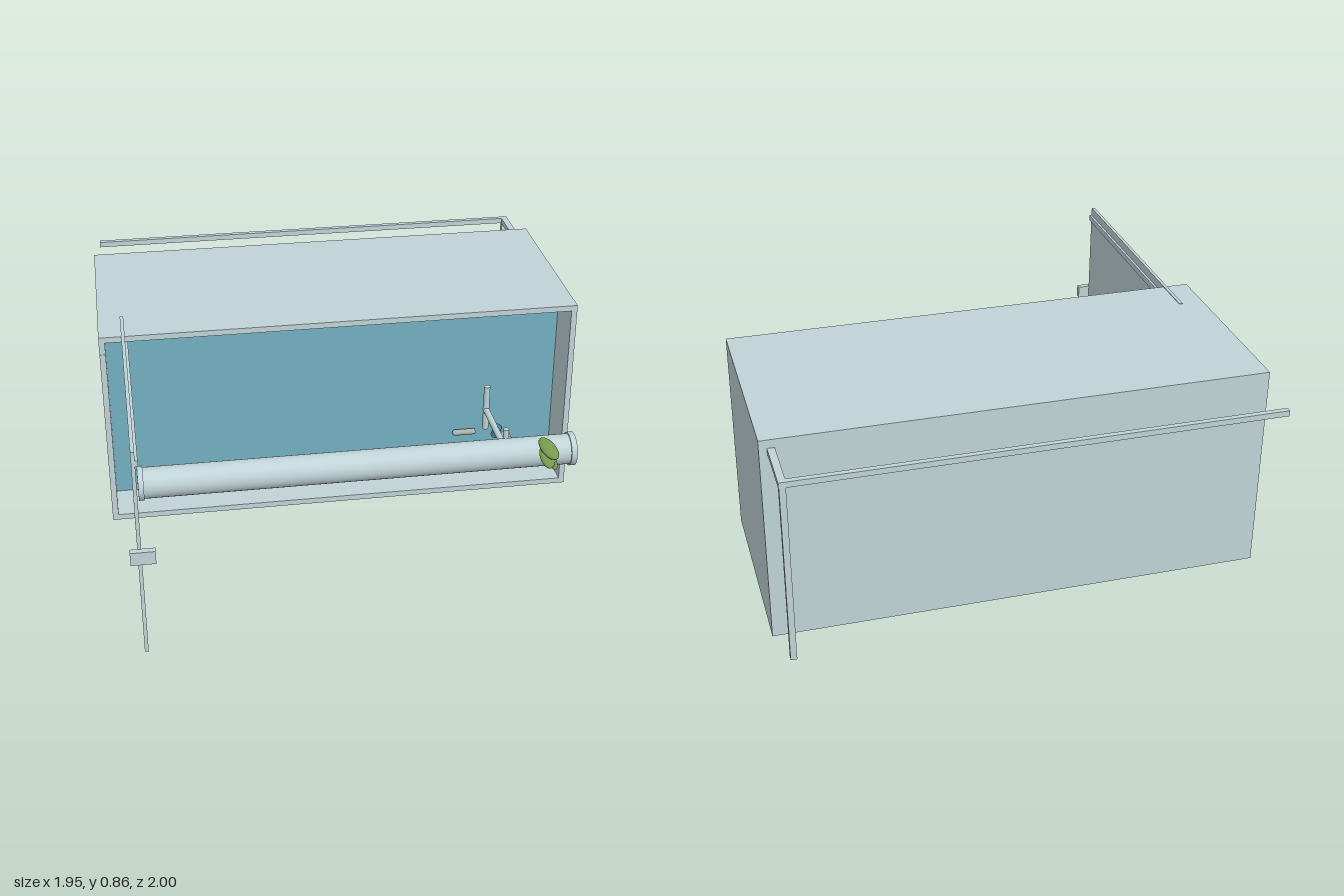
import * as THREE from 'three';

export function createModel() {
  const model = new THREE.Group();
  const mat = (name, color) => {
    const m = new THREE.MeshStandardMaterial({ color });
    m.name = name;
    return m;
  };
  const shell = mat('pale steel', 0xc0d3d7);
  const blue = mat('blue lining', 0x72b0c0);
  const darkBlue = mat('dark blue', 0x4f8496);
  const green = mat('leaf green', 0x76994f);
  const grey = mat('grey fitting', 0xa9b2b3);

  const add = (name, geometry, material, parent = model) => {
    const mesh = new THREE.Mesh(geometry, material);
    mesh.name = name;
    parent.add(mesh);
    return mesh;
  };
  // Box given by its extents
  const box = (name, x0, x1, y0, y1, z0, z1, material = shell, parent = model) => {
    const mesh = add(name, new THREE.BoxGeometry(x1 - x0, y1 - y0, z1 - z0), material, parent);
    mesh.position.set((x0 + x1) / 2, (y0 + y1) / 2, (z0 + z1) / 2);
    return mesh;
  };
  // Round rod between two points
  const rod = (name, a, b, r, material = shell, parent = model) => {
    const p = new THREE.Vector3(...a), q = new THREE.Vector3(...b);
    const dir = q.clone().sub(p);
    const mesh = add(name, new THREE.CylinderGeometry(r, r, dir.length(), 32), material, parent);
    mesh.position.copy(p).add(q).multiplyScalar(0.5);
    mesh.quaternion.setFromUnitVectors(new THREE.Vector3(0, 1, 0), dir.normalize());
    return mesh;
  };

  // Cabinet: solid rear with a shallow open recess at the front
  const cabinet = new THREE.Group();
  cabinet.name = 'cabinet';
  model.add(cabinet);
  const L = -0.977, R = 0.973, B = 0.003, T = 0.854, F = 0.068, P = -0.12, W = 0.024;
  box('rearBody', L, R, B, T, -0.761, P - 0.005, shell, cabinet);
  box('roof', L, R, T - W, T, P - 0.005, F, shell, cabinet);
  box('floor', L, R, B, B + W, P - 0.005, F, shell, cabinet);
  box('leftWall', R - W, R, B + W, T - W, P - 0.005, F, shell, cabinet);
  box('rightWall', L, L + W, B + W, T - W, P - 0.005, F, shell, cabinet);
  box('backPanel', L + W, R - W, B + W, T - W, P - 0.005, P, blue, cabinet);
  box('hingeStrip', L + 0.002, L + W, 0.07, 0.78, F, F + 0.003, shell, cabinet);

  // Open door with top rail and handle
  const door = new THREE.Group();
  door.name = 'door';
  model.add(door);
  box('doorPanel', -0.887, -0.873, 0, 0.857, -0.11, 0.978, shell, door);
  box('doorRail', -0.873, -0.863, 0.797, 0.822, -0.1, 0.978, shell, door);
  box('doorHandle', -0.915, -0.823, 0.402, 0.455, 0.975, 1, shell, door);

  // Bent rail behind the cabinet
  const rail = new THREE.Group();
  rail.name = 'rearRail';
  model.add(rail);
  box('railBar', -0.95, 0.943, 0.797, 0.82, -1, -0.978, shell, rail);
  box('railArm', 0.915, 0.943, 0.797, 0.82, -0.978, -0.761, shell, rail);
  box('railPost', 0.917, 0.941, 0.065, 0.797, -1, -0.978, shell, rail);

  // Long tube with end collars
  const ty = 0.43, tz = 0.488;
  rod('tube', [-0.862, ty, tz], [0.858, ty, tz], 0.061);
  for (const [a, b] of [[-0.866, -0.845], [0.838, 0.861]])
    rod('tubeCollar', [a, ty, tz], [b, ty, tz], 0.067);

  // Double-ended pull handle in front of the recess
  rod('pullStem', [0.6, 0.415, 0.1], [0.6, 0.415, 0.425], 0.013);
  rod('pullGrip', [0.6, 0.327, 0.1], [0.6, 0.525, 0.1], 0.013);
  rod('pullCrossbar', [0.6, 0.36, 0.425], [0.6, 0.505, 0.425], 0.012);
  add('pullTip', new THREE.SphereGeometry(0.014, 20, 14), shell).position.set(0.6, 0.415, 0.093);

  // Leaves on the tube
  const leaves = [
    [0.735, 0.487, 0.57, 0.032, 0.017, 0.061, 0.3, 0.28],
    [0.728, 0.459, 0.582, 0.03, 0.015, 0.052, 0.62, 0.1],
    [0.745, 0.443, 0.585, 0.02, 0.012, 0.042, 0.72, 0.35],
  ];
  for (const [x, y, z, sx, sy, sz, rx, ry] of leaves) {
    const leaf = add('leaf', new THREE.SphereGeometry(1, 24, 16), green);
    leaf.position.set(x, y, z);
    leaf.scale.set(sx, sy, sz);
    leaf.rotation.set(rx, ry, 0, 'YXZ');
  }

  // Small fittings on the back panel
  rod('smallBar', [0.52, 0.197, -0.1], [0.607, 0.197, -0.1], 0.013, grey);
  add('smallBarTip', new THREE.SphereGeometry(0.013, 20, 14), grey).position.set(0.52, 0.197, -0.1);
  rod('bluePeg', [0.69, 0.187, -0.07], [0.715, 0.197, -0.12], 0.018, darkBlue);
  rod('roundKnob', [0.75, 0.156, -0.12], [0.75, 0.156, -0.07], 0.02);
  return model;
}
